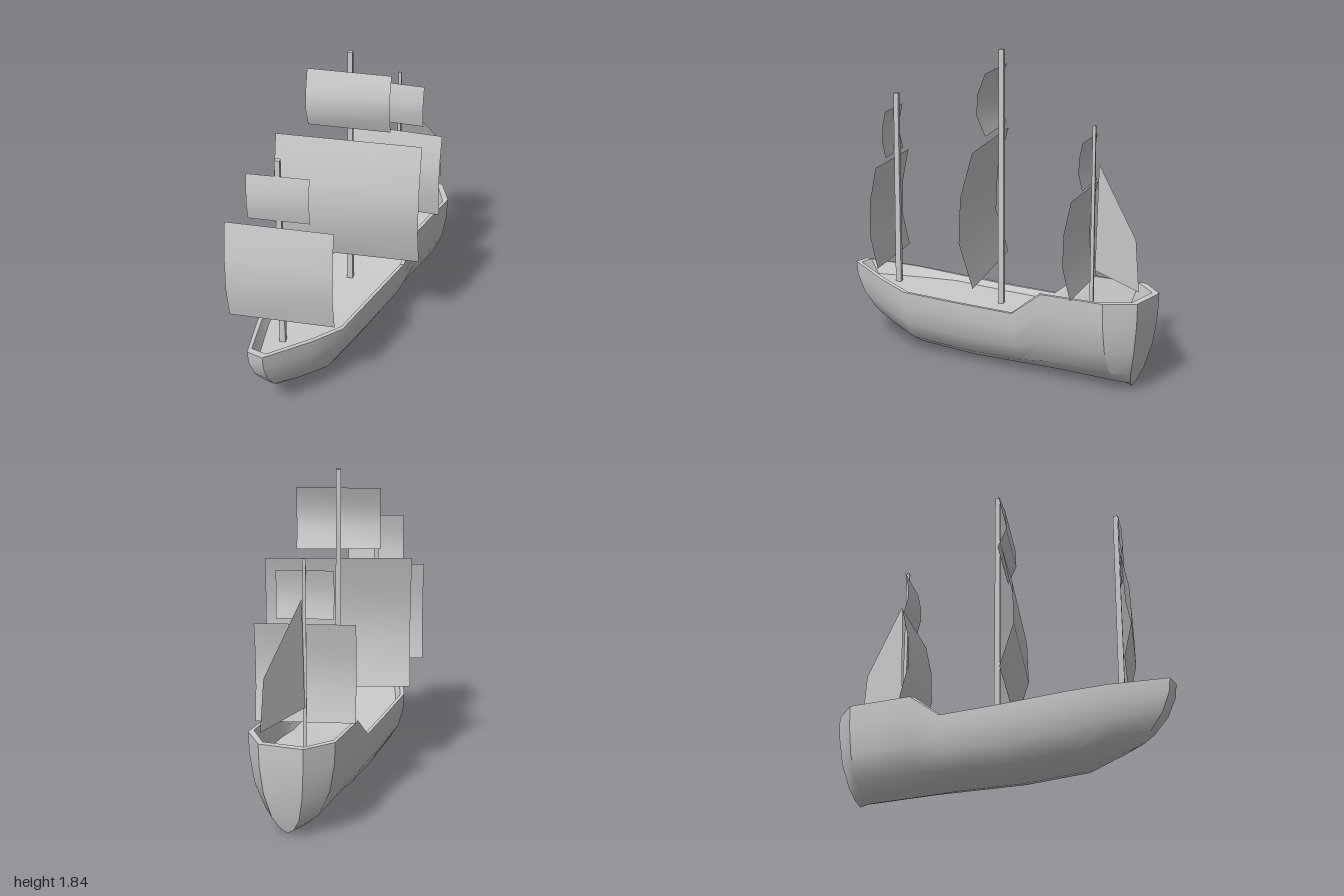
import * as THREE from 'three';
import { toCreasedNormals } from 'three/addons/utils/BufferGeometryUtils.js';

const material = new THREE.MeshStandardMaterial({ color: 0xcccccc });
const clothMaterial = new THREE.MeshStandardMaterial({ color: 0xcccccc, side: THREE.DoubleSide });

// Hull stations, bow to stern: rim z, keel z, centre x, half width, rim y, keel y, deck y
const STATIONS = [
  [1.0, 0.8, -0.01, 0.05, 0.455, 0.12, 0.37],
  [0.7, 0.7, -0.017, 0.185, 0.42, 0.09, 0.36],
  [0.48, 0.48, -0.025, 0.255, 0.39, 0.02, 0.355],
  [0.1, 0.1, -0.036, 0.25, 0.385, 0.005, 0.35],
  [-0.27, -0.27, -0.045, 0.248, 0.387, 0.02, 0.35],
  [-0.46, -0.46, -0.05, 0.248, 0.53, 0.02, 0.37],
  [-0.85, -0.85, -0.057, 0.247, 0.54, 0.025, 0.385],
  [-1.0, -0.91, -0.055, 0.125, 0.537, 0.015, 0.385],
];
// Half section from keel to rim: [share of half width, share of depth below the rim]
const SECTION = [[0, 1], [0.3, 0.95], [0.62, 0.82], [0.87, 0.55], [0.98, 0.24], [1, 0]];

function halfSection([zTop, zKeel, cx, hw, yTop, yKeel, yDeck], side) {
  const points = SECTION.map(([w, d]) => [
    cx + side * hw * w,
    yTop + (yKeel - yTop) * d,
    zTop + (zKeel - zTop) * d ** 2.2,
  ]);
  // inner edge of the rim, then the foot of the bulwark at the deck
  points.push([cx + side * hw * 0.92, yTop, zTop * 0.96]);
  points.push([cx + side * hw * 0.85, yDeck, zTop * 0.9]);
  return points;
}

function buildHull() {
  const left = STATIONS.map((s) => halfSection(s, 1));
  const right = STATIONS.map((s) => halfSection(s, -1));
  const rows = left[0].length;
  const last = STATIONS.length - 1;
  const positions = [];
  const quad = (a, b, c, d) => positions.push(...a, ...b, ...c, ...a, ...c, ...d);
  for (let i = 0; i < last; i++) {
    for (let j = 0; j < rows - 1; j++) {
      quad(left[i][j], left[i + 1][j], left[i + 1][j + 1], left[i][j + 1]);
      quad(right[i + 1][j], right[i][j], right[i][j + 1], right[i + 1][j + 1]);
    }
    // deck
    quad(left[i][rows - 1], left[i + 1][rows - 1], right[i + 1][rows - 1], right[i][rows - 1]);
  }
  // blunt stem and transom, with their rims and inner walls
  for (let j = 0; j < rows - 1; j++) {
    quad(right[0][j], left[0][j], left[0][j + 1], right[0][j + 1]);
    quad(left[last][j], right[last][j], right[last][j + 1], left[last][j + 1]);
  }
  const geometry = new THREE.BufferGeometry();
  geometry.setAttribute('position', new THREE.Float32BufferAttribute(positions, 3));
  const mesh = new THREE.Mesh(toCreasedNormals(geometry, 0.6), material);
  mesh.name = 'hull';
  return mesh;
}

// Square, slightly tapered mast
function buildMast(name, x, z, top, width) {
  const foot = 0.33;
  const geometry = new THREE.CylinderGeometry(width * 0.62, width * 0.75, top - foot, 4);
  const mesh = new THREE.Mesh(toCreasedNormals(geometry, 0.5), material);
  mesh.position.set(x, (top + foot) / 2, z);
  mesh.rotation.y = Math.PI / 4 + 0.33;
  mesh.name = name;
  return mesh;
}

// Square sail, bellied forward between its head and foot
function buildSail(name, x, z, width, top, bottom, belly, yaw) {
  const geometry = new THREE.PlaneGeometry(width, top - bottom, 1, 3);
  const depth = [0, 0.88, 1, 0];
  const position = geometry.attributes.position;
  for (let i = 0; i < position.count; i++) {
    position.setZ(i, belly * depth[Math.floor(i / 2)]);
  }
  geometry.computeVertexNormals();
  const mesh = new THREE.Mesh(geometry, clothMaterial);
  mesh.position.set(x, (top + bottom) / 2, z);
  mesh.rotation.y = yaw;
  mesh.name = name;
  return mesh;
}

// Flat fore-and-aft sail behind the mizzen mast, drawn as distance aft and height
function buildSpanker() {
  const outline = [[0.005, 0.64], [0.35, 0.6], [0.32, 0.885], [0.025, 1.25]];
  const shape = new THREE.Shape(outline.map(([a, y]) => new THREE.Vector2(a * 1.055, y)));
  const mesh = new THREE.Mesh(new THREE.ShapeGeometry(shape), clothMaterial);
  mesh.position.set(-0.062, 0, -0.65);
  mesh.rotation.y = Math.PI / 2 - 0.33;
  mesh.name = 'spanker';
  return mesh;
}

export function createModel() {
  const ship = new THREE.Group();
  ship.name = 'sailingShip';
  ship.add(
    buildHull(),
    buildMast('foreMast', -0.02, 0.71, 1.53, 0.032),
    buildMast('mainMast', -0.035, -0.04, 1.84, 0.032),
    buildMast('mizzenMast', -0.055, -0.64, 1.46, 0.02),
    buildSail('foreSail', -0.007, 0.737, 0.6, 1.13, 0.52, 0.045, 0.34),
    buildSail('foreTopsail', -0.012, 0.725, 0.34, 1.44, 1.165, 0.02, 0.36),
    buildSail('mainSail', -0.015, 0.018, 0.84, 1.32, 0.55, 0.078, 0.352),
    buildSail('mainTopsail', -0.025, -0.01, 0.475, 1.73, 1.38, 0.05, 0.335),
    buildSail('mizzenSail', -0.04, -0.595, 0.55, 1.09, 0.535, 0.045, 0.265),
    buildSail('mizzenTopsail', -0.05, -0.618, 0.31, 1.39, 1.125, 0.022, 0.27),
    buildSpanker(),
  );
  return ship;
}
